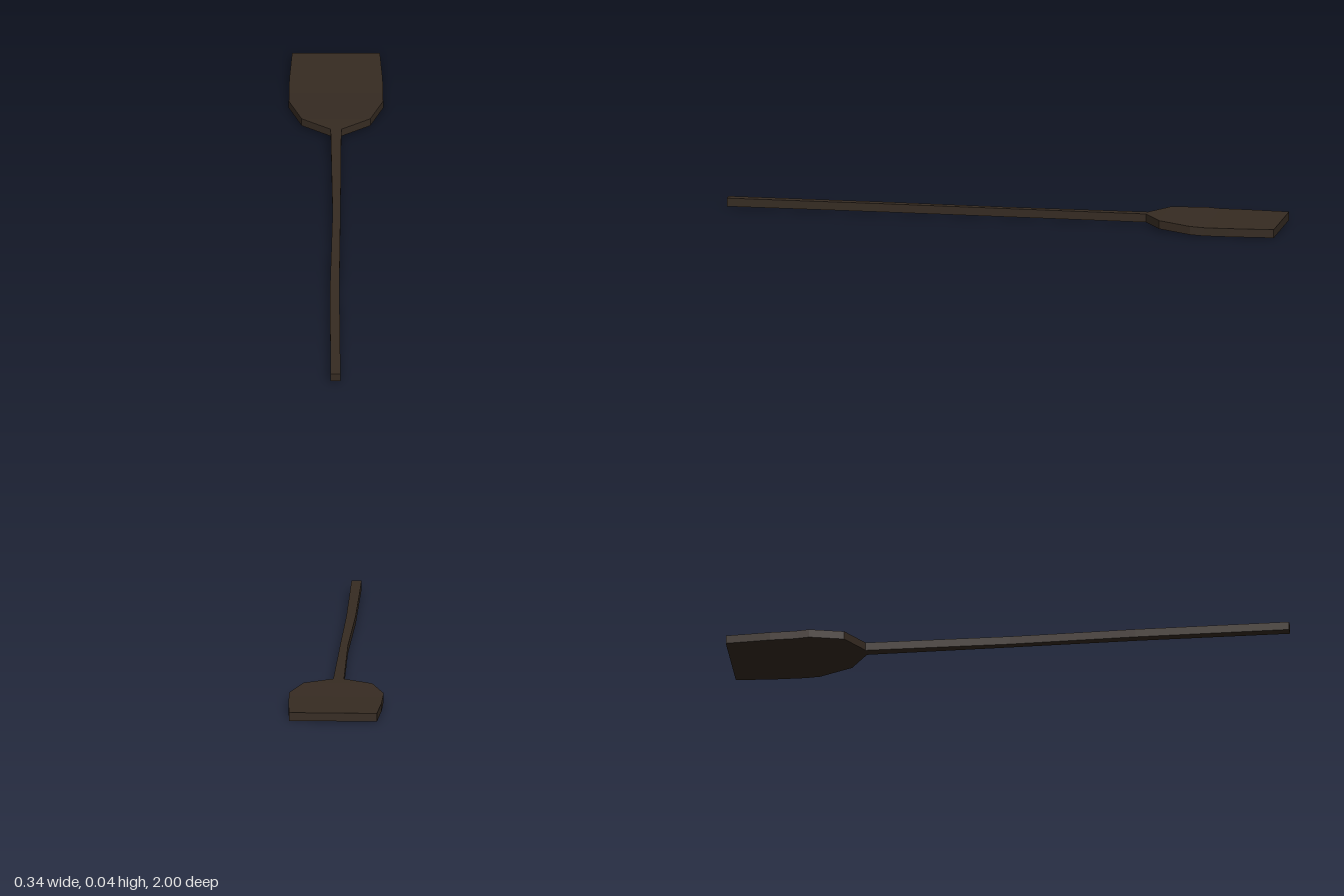
import * as THREE from 'three';

const THICKNESS = 0.03;

// Lofts rectangular sections [z, left x, right x, bottom y], running from +z to -z
function loft(sections, capFront, capBack) {
  const pos = [];
  const quad = (a, b, c, d) => pos.push(...a, ...b, ...c, ...a, ...c, ...d);
  // Corners counter-clockwise as seen from +z
  const rings = sections.map(([z, x0, x1, y]) => [
    [x0, y, z], [x1, y, z], [x1, y + THICKNESS, z], [x0, y + THICKNESS, z],
  ]);
  for (let i = 0; i < rings.length - 1; i++) {
    const a = rings[i], b = rings[i + 1];
    for (let k = 0; k < 4; k++) {
      const n = (k + 1) % 4;
      quad(a[k], b[k], b[n], a[n]);
    }
  }
  if (capFront) quad(...rings[0]);
  if (capBack) quad(...[...rings[rings.length - 1]].reverse());
  const geometry = new THREE.BufferGeometry();
  geometry.setAttribute('position', new THREE.Float32BufferAttribute(pos, 3));
  geometry.computeVertexNormals(); // unshared corners give flat faces
  return geometry;
}

export function createModel() {
  const group = new THREE.Group();
  group.name = 'paddle';
  const darkWood = new THREE.MeshStandardMaterial({ color: 0x362b22 });
  darkWood.name = 'darkWood';

  const add = (name, geometry) => {
    const mesh = new THREE.Mesh(geometry, darkWood);
    mesh.name = name;
    group.add(mesh);
  };

  // Slightly crooked square handle
  add('handle', loft([
    [1, -0.02, 0.016, 0.01],
    [0.45, -0.021, 0.012, 0.01],
    [0, -0.012, 0.016, 0.01],
    [-0.515, -0.019, 0.019, 0.01],
  ], true, false));

  // Broad flat blade, dropping a little below the handle
  add('blade', loft([
    [-0.515, -0.019, 0.019, 0.01],
    [-0.58, -0.122, 0.122, 0.01],
    [-0.7, -0.168, 0.168, 0.003],
    [-0.75, -0.167, 0.167, 0],
    [-0.84, -0.166, 0.166, 0],
    [-1, -0.156, 0.156, 0],
  ], false, true));

  return group;
}
